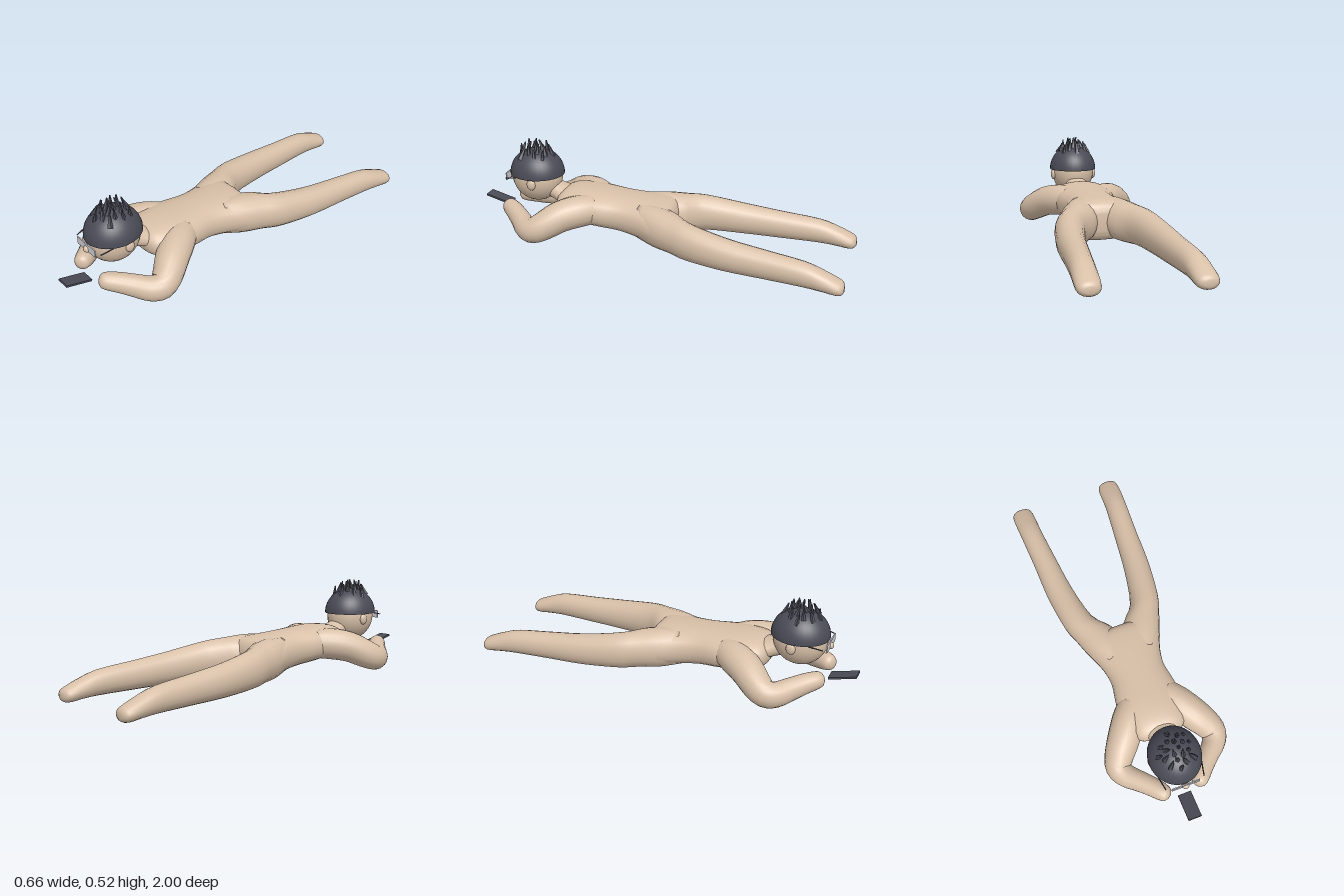
import * as THREE from 'three';

const material = (name, color) => {
  const m = new THREE.MeshStandardMaterial({ color });
  m.name = name;
  return m;
};
const skin = material('skin', 0xd8c0a8);
const hair = material('dark slate', 0x4b4b57);
hair.side = THREE.DoubleSide;
const lensWhite = material('lens grey', 0xd4d4da);
const frameDark = material('frame dark', 0x3a3a44);

const V = (x, y, z) => new THREE.Vector3(x, y, z);
const UP = V(0, 1, 0);

// Smooth closed skin through rows of [x, y, z, halfWidth, halfHeight].
// Rings follow the path, or stay square to z when upright is true.
function loft(rows, upright, steps = 3, sides = 18, power = 1) {
  const path = new THREE.CatmullRomCurve3(rows.map(r => V(r[0], r[1], r[2])), false, 'catmullrom');
  const size = new THREE.CatmullRomCurve3(rows.map(r => V(r[3], r[4], 0)), false, 'catmullrom');
  const n = (rows.length - 1) * steps;
  const pos = [], idx = [];
  for (let i = 0; i <= n; i++) {
    const c = path.getPoint(i / n), s = size.getPoint(i / n);
    const back = upright ? V(0, 0, 1) : path.getTangent(i / n).negate();
    const u = UP.clone().cross(back).normalize();
    const v = back.clone().cross(u);
    for (let j = 0; j < sides; j++) {
      const a = j / sides * Math.PI * 2;
      const bulge = k => Math.sign(k) * Math.abs(k) ** power;
      const p = c.clone()
        .addScaledVector(u, Math.max(s.x, 0.002) * bulge(Math.cos(a)))
        .addScaledVector(v, Math.max(s.y, 0.002) * bulge(Math.sin(a)));
      pos.push(p.x, p.y, p.z);
    }
  }
  const first = (n + 1) * sides;
  for (const t of [0, 1]) pos.push(...path.getPoint(t).toArray());
  for (let j = 0; j < sides; j++) {
    const k = (j + 1) % sides;
    for (let i = 0; i < n; i++) {
      const a = i * sides + j, b = i * sides + k;
      idx.push(a, a + sides, b, b, a + sides, b + sides);
    }
    idx.push(first, j, k, first + 1, n * sides + k, n * sides + j);
  }
  const g = new THREE.BufferGeometry();
  g.setAttribute('position', new THREE.Float32BufferAttribute(pos, 3));
  g.setIndex(idx);
  g.computeVertexNormals();
  return g;
}

export function createModel() {
  const model = new THREE.Group();
  model.name = 'lyingFigure';
  const add = (name, geometry, mat, x = 0, y = 0, z = 0) => {
    const m = new THREE.Mesh(geometry, mat);
    m.name = name;
    m.position.set(x, y, z);
    model.add(m);
    return m;
  };
  const ellipsoid = (name, mat, r, x, y, z) => {
    const m = add(name, new THREE.SphereGeometry(1, 28, 20), mat, x, y, z);
    m.scale.set(...r);
    return m;
  };

  // Torso: z, half width, bottom, top
  const torso = [
    [0.56, 0.06, 0.18, 0.23], [0.545, 0.11, 0.15, 0.255], [0.51, 0.14, 0.125, 0.277],
    [0.45, 0.155, 0.11, 0.286], [0.38, 0.168, 0.1, 0.286], [0.3, 0.163, 0.09, 0.281],
    [0.2, 0.148, 0.077, 0.275], [0.1, 0.164, 0.06, 0.268], [0, 0.202, 0.045, 0.259],
    [-0.05, 0.205, 0.047, 0.247], [-0.075, 0.15, 0.065, 0.225], [-0.088, 0.06, 0.1, 0.19],
  ].map(([z, w, b, t]) => [0, (b + t) / 2, z, w, (t - b) / 2]);
  add('torso', loft(torso, true, 3, 24, 0.85), skin);

  // Neck
  add('neck', loft([
    [0, 0.27, 0.68, 0.06, 0.06], [0, 0.25, 0.6, 0.06, 0.05],
    [0, 0.225, 0.53, 0.085, 0.05], [0, 0.21, 0.46, 0.1, 0.05],
  ], false), skin);

  // Legs: z, inner x, outer x, bottom, top
  const leg = [
    [0.1, 0.005, 0.152, 0.07, 0.255], [0, 0, 0.202, 0.046, 0.256], [-0.1, 0.03, 0.238, 0.04, 0.245],
    [-0.2, 0.108, 0.27, 0.035, 0.228], [-0.4, 0.152, 0.296, 0.025, 0.192],
    [-0.6, 0.175, 0.303, 0.02, 0.166], [-0.8, 0.195, 0.313, 0.015, 0.142],
    [-0.9, 0.2, 0.318, 0.008, 0.108], [-0.96, 0.204, 0.318, 0.001, 0.082],
    [-0.988, 0.215, 0.308, 0.005, 0.068], [-1, 0.24, 0.285, 0.018, 0.05],
  ];
  // Arms: centre, half width, half height, from shoulder to fist
  const arm = [
    [0.08, 0.193, 0.33, 0.07, 0.075], [0.13, 0.193, 0.41, 0.085, 0.084], [0.19, 0.175, 0.495, 0.084, 0.082],
    [0.242, 0.137, 0.565, 0.075, 0.076], [0.263, 0.113, 0.617, 0.066, 0.069],
    [0.24, 0.11, 0.667, 0.06, 0.064], [0.195, 0.122, 0.713, 0.054, 0.059],
    [0.145, 0.138, 0.765, 0.05, 0.052], [0.108, 0.15, 0.81, 0.046, 0.046],
    [0.087, 0.156, 0.838, 0.036, 0.037], [0.078, 0.158, 0.85, 0.015, 0.016],
  ];
  for (const s of [1, -1]) {
    const side = s > 0 ? 'left' : 'right';
    add(side + 'Leg', loft(leg.map(([z, i, o, b, t]) =>
      [s * (i + o) / 2, (b + t) / 2, z, (o - i) / 2, (t - b) / 2]), true, 3, 18, 0.95), skin);
    add(side + 'Arm', loft(arm.map(([x, ...r]) => [s * x, ...r]), false), skin);
    ellipsoid(side + 'Ear', skin, [0.015, 0.03, 0.024], s * 0.118, 0.302, 0.685);

    // Glasses: lens and short temple rod
    add(side + 'Lens', new THREE.BoxGeometry(0.06, 0.041, 0.006), lensWhite, s * 0.043, 0.313, 0.85);
    const rod = new THREE.LineCurve3(V(s * 0.1, 0.317, 0.84), V(s * 0.114, 0.331, 0.77));
    add(side + 'Temple', new THREE.TubeGeometry(rod, 1, 0.003, 6), frameDark);
  }
  add('glassesBridge', new THREE.BoxGeometry(0.03, 0.012, 0.006), lensWhite, 0, 0.324, 0.85);

  // Head and nose
  ellipsoid('head', skin, [0.119, 0.136, 0.138], 0, 0.313, 0.698);
  ellipsoid('nose', skin, [0.019, 0.019, 0.019], 0, 0.301, 0.848);

  // Hair cap with flat underside
  const cap = new THREE.SphereGeometry(1, 32, 12, 0, Math.PI * 2, 0, Math.PI / 2);
  add('hairCap', cap, hair, 0, 0.331, 0.697).scale.set(0.134, 0.137, 0.148);
  const rim = add('hairUnderside', new THREE.CircleGeometry(1, 32), hair, 0, 0.331, 0.697);
  rim.rotation.x = Math.PI / 2;
  rim.scale.set(0.134, 0.148, 1);

  // Hair spikes scattered on the crown, leaning inward
  const spike = new THREE.CylinderGeometry(0.003, 0.015, 0.07, 5).toNonIndexed();
  spike.computeVertexNormals();
  for (let i = 0; i < 20; i++) {
    const a = i * 2.4, r = 0.1 * Math.sqrt((i + 0.5) / 20);
    const x = r * Math.cos(a), z = r * Math.sin(a);
    const y = 0.137 * Math.sqrt(1 - (x / 0.134) ** 2 - (z / 0.148) ** 2);
    const m = add('hairSpike', spike, hair, x * 0.9, 0.331 + y + 0.018, 0.697 + z * 0.9);
    const lean = V(-x * 4 + 0.2 * Math.sin(i * 5), 1, -z * 3 + 0.25 * Math.cos(i * 3)).normalize();
    m.quaternion.setFromUnitVectors(UP, lean);
    m.scale.setScalar(0.8 + 0.25 * Math.abs(Math.sin(i * 7)));
  }

  // Phone held in front of the face
  const phone = add('phone', new THREE.BoxGeometry(0.07, 0.01, 0.143), hair, 0, 0.154, 0.929);
  phone.rotation.x = -0.26;
  return model;
}
